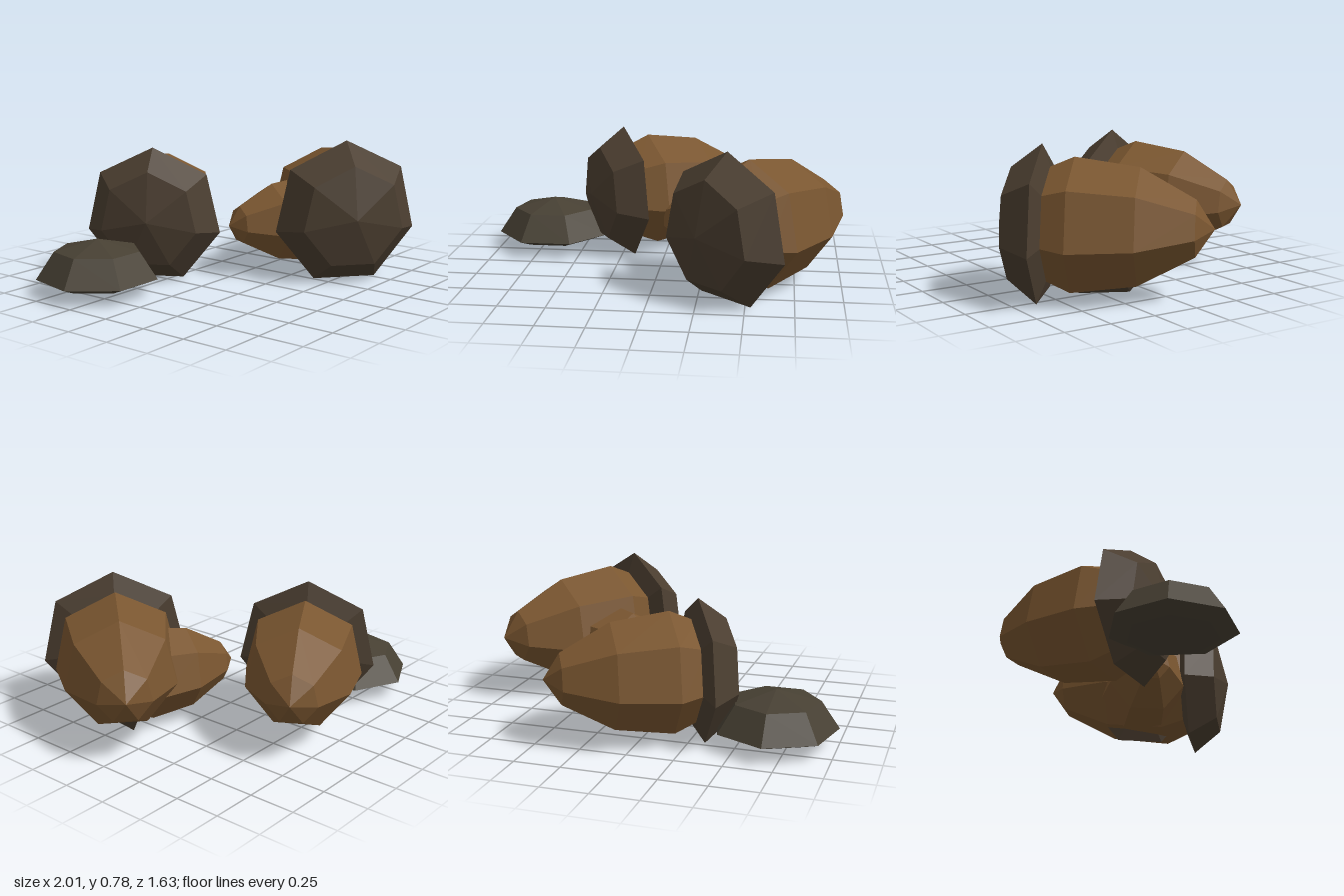
import * as THREE from 'three';

const SIDES = 7;

// Faceted solid of revolution; points run from bottom to top as [radius, y]
function facetedLathe(profile) {
  const points = profile.map(([r, y]) => new THREE.Vector2(r, y));
  const geometry = new THREE.LatheGeometry(points, SIDES).toNonIndexed();
  geometry.computeVertexNormals();
  return geometry;
}

export function createModel() {
  const model = new THREE.Group();
  model.name = 'acorns';

  const nutBrown = new THREE.MeshStandardMaterial({ color: 0x7a5630 });
  nutBrown.name = 'nut brown';
  const capBrown = new THREE.MeshStandardMaterial({ color: 0x4b3e30 });
  capBrown.name = 'cap dark brown';
  const oldCapBrown = new THREE.MeshStandardMaterial({ color: 0x474033 });
  oldCapBrown.name = 'loose cap grey brown';

  // Shallow dome with its rim at y = 0
  const capGeometry = facetedLathe([
    [0, -0.04], [0.29, -0.04], [0.408, 0], [0.287, 0.16], [0, 0.225],
  ]);
  // Nut hanging down from the rim to a blunt tip
  const nutGeometry = facetedLathe([
    [0, -0.86], [0.145, -0.768], [0.3, -0.49], [0.345, -0.163], [0.28, -0.01], [0, 0],
  ]);

  // Acorns lying on their sides: rim centre, heading of the tip, size
  const acorns = [
    { name: 'largeAcorn', at: [0.395, 0.367, 0.51], tip: [0.658, -0.753], size: 1 },
    { name: 'mediumAcorn', at: [-0.255, 0.351, -0.34], tip: [0.866, -0.5], size: 0.941 },
    { name: 'smallAcorn', at: [0.58, 0.288, 0.26], tip: [-0.896, -0.444], size: 0.73 },
  ];
  for (const { name, at, tip, size } of acorns) {
    const acorn = new THREE.Group();
    acorn.name = name;
    const cap = new THREE.Mesh(capGeometry, capBrown);
    cap.name = 'cap';
    const nut = new THREE.Mesh(nutGeometry, nutBrown);
    nut.name = 'nut';
    acorn.add(cap, nut);
    // Lay it down with the tip along +z, then turn to its heading
    acorn.rotation.set(-Math.PI / 2, Math.atan2(tip[0], tip[1]), 0, 'YXZ');
    acorn.position.set(...at);
    acorn.scale.setScalar(size);
    model.add(acorn);
  }

  // Empty cap resting dome up
  const looseCap = new THREE.Mesh(capGeometry, oldCapBrown);
  looseCap.name = 'looseCap';
  looseCap.position.set(-0.68, 0.09, -0.361);
  looseCap.rotation.y = Math.PI;
  looseCap.scale.set(0.807, 0.91, 0.807);
  model.add(looseCap);

  return model;
}
